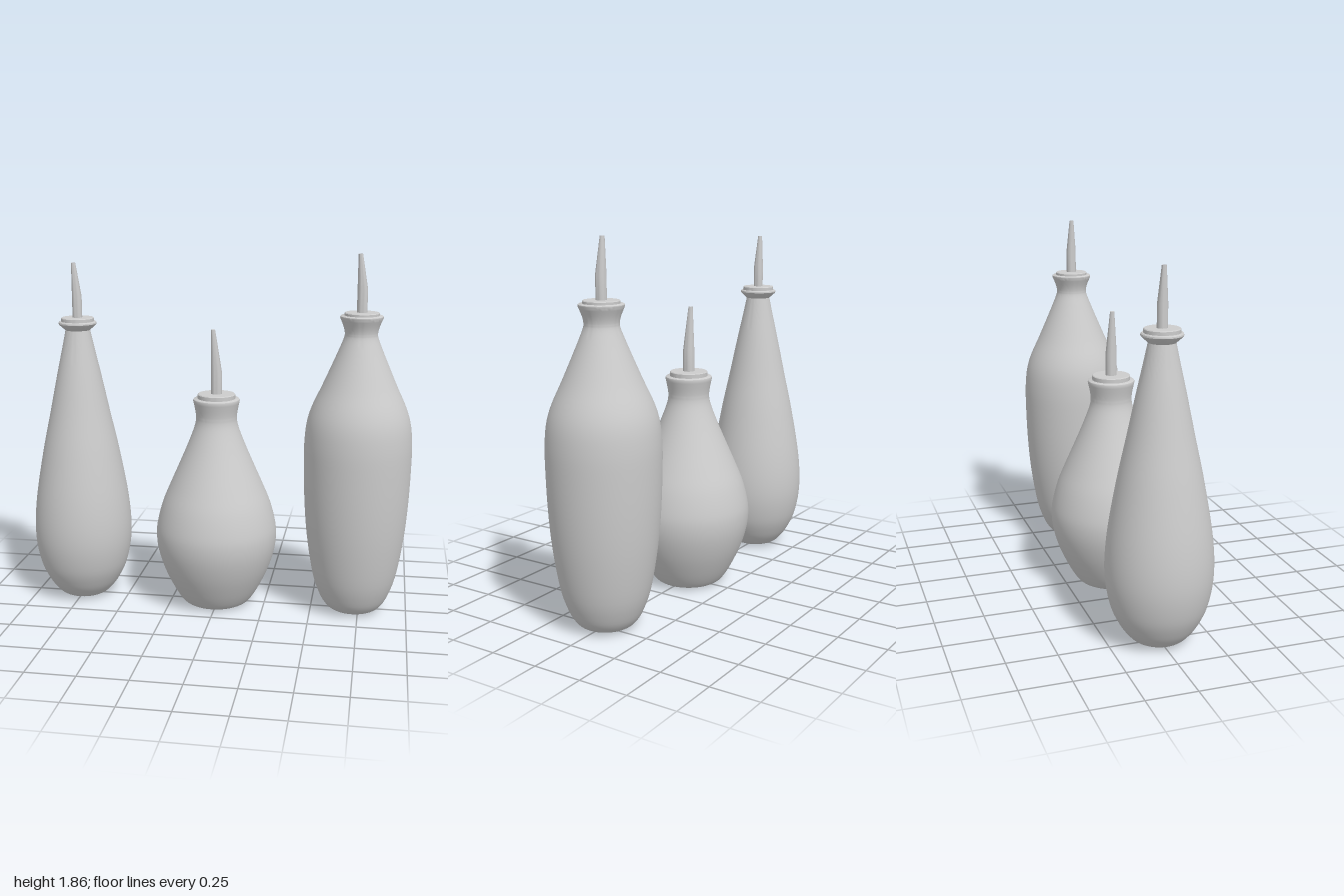
import * as THREE from 'three';
import { toCreasedNormals } from 'three/addons/utils/BufferGeometryUtils.js';

const material = new THREE.MeshStandardMaterial({ color: 0xcccccc });
const V = (r, y) => new THREE.Vector2(r, y);

// Turned part; rounded where shallow, sharp at real corners
function turned(name, points, segments = 64) {
  const geometry = toCreasedNormals(new THREE.LatheGeometry(points, segments), 0.6);
  const mesh = new THREE.Mesh(geometry, material);
  mesh.name = name;
  return mesh;
}

// Pouring spout: straight tube, then a taper leaning to one side, hollow at the tip
function makeSpout(y0, y1, y2, r0) {
  const tip = 0.011, bore = 0.007;
  const profile = [V(r0, y0), V(r0, y1), V(tip, y2), V(bore, y2), V(bore, y2 - 0.03), V(0, y2 - 0.03)];
  const geometry = new THREE.LatheGeometry(profile, 24);
  const p = geometry.attributes.position;
  for (let i = 0; i < p.count; i++) {
    const t = Math.max(0, (p.getY(i) - y1) / (y2 - y1));
    p.setX(i, p.getX(i) - t * (r0 - tip));
  }
  const mesh = new THREE.Mesh(toCreasedNormals(geometry, 0.6), material);
  mesh.name = 'spout';
  return mesh;
}

function makeBottle({ name, x, profile, lip, stopper, spout }) {
  const bottle = new THREE.Group();
  bottle.name = name;
  bottle.position.x = x;

  // Glass body: smooth curve from foot to neck, closed underneath and on top
  const curve = new THREE.SplineCurve(profile.map(([r, y]) => V(r, y)));
  const foot = profile[0];
  const top = lip[lip.length - 1];
  bottle.add(turned('body', [
    V(0, foot[1]),
    ...curve.getPoints(60),
    ...lip.map(([r, y]) => V(r, y)),
    V(0, top[1]),
  ]));

  // Stopper disc with a slightly softened rim
  const [r, y0, y1] = stopper;
  bottle.add(turned('stopper', [V(r, y0 - 0.01), V(r, y1 - 0.004), V(r - 0.004, y1), V(0, y1)]));
  bottle.add(makeSpout(...spout));
  return bottle;
}

const bottles = [
  {
    name: 'slenderBottle', x: -0.742,
    profile: [[0.09, 0.01], [0.115, 0.017], [0.145, 0.04], [0.19, 0.1], [0.234, 0.2], [0.258, 0.35],
      [0.248, 0.54], [0.204, 0.8], [0.157, 1.02], [0.115, 1.22], [0.084, 1.36], [0.066, 1.445]],
    lip: [[0.064, 1.455], [0.094, 1.482], [0.098, 1.488], [0.097, 1.495], [0.092, 1.5]],
    stopper: [0.085, 1.5, 1.52],
    spout: [1.515, 1.63, 1.8, 0.025],
  },
  {
    name: 'wideBottle', x: -0.01,
    profile: [[0.14, 0.003], [0.165, 0.012], [0.19, 0.035], [0.23, 0.1], [0.277, 0.2], [0.308, 0.3], [0.318, 0.385],
      [0.31, 0.46], [0.283, 0.56], [0.242, 0.66], [0.198, 0.76], [0.155, 0.86], [0.12, 0.95], [0.107, 1.0], [0.108, 1.04], [0.118, 1.092]],
    lip: [[0.121, 1.105], [0.119, 1.112], [0.113, 1.116]],
    stopper: [0.098, 1.116, 1.14],
    spout: [1.135, 1.25, 1.472, 0.029],
  },
  {
    name: 'tallBottle', x: 0.723,
    profile: [[0.1, 0.01], [0.125, 0.018], [0.15, 0.04], [0.18, 0.09], [0.217, 0.2], [0.25, 0.4], [0.267, 0.6], [0.274, 0.82],
      [0.272, 0.93], [0.261, 1.02], [0.236, 1.1], [0.19, 1.2], [0.142, 1.31], [0.104, 1.4], [0.085, 1.45], [0.083, 1.475], [0.09, 1.505], [0.105, 1.542]],
    lip: [[0.108, 1.55], [0.107, 1.556], [0.101, 1.56]],
    stopper: [0.087, 1.56, 1.575],
    spout: [1.57, 1.69, 1.862, 0.026],
  },
];

export function createModel() {
  const model = new THREE.Group();
  model.name = 'oilBottles';
  for (const spec of bottles) model.add(makeBottle(spec));
  return model;
}
